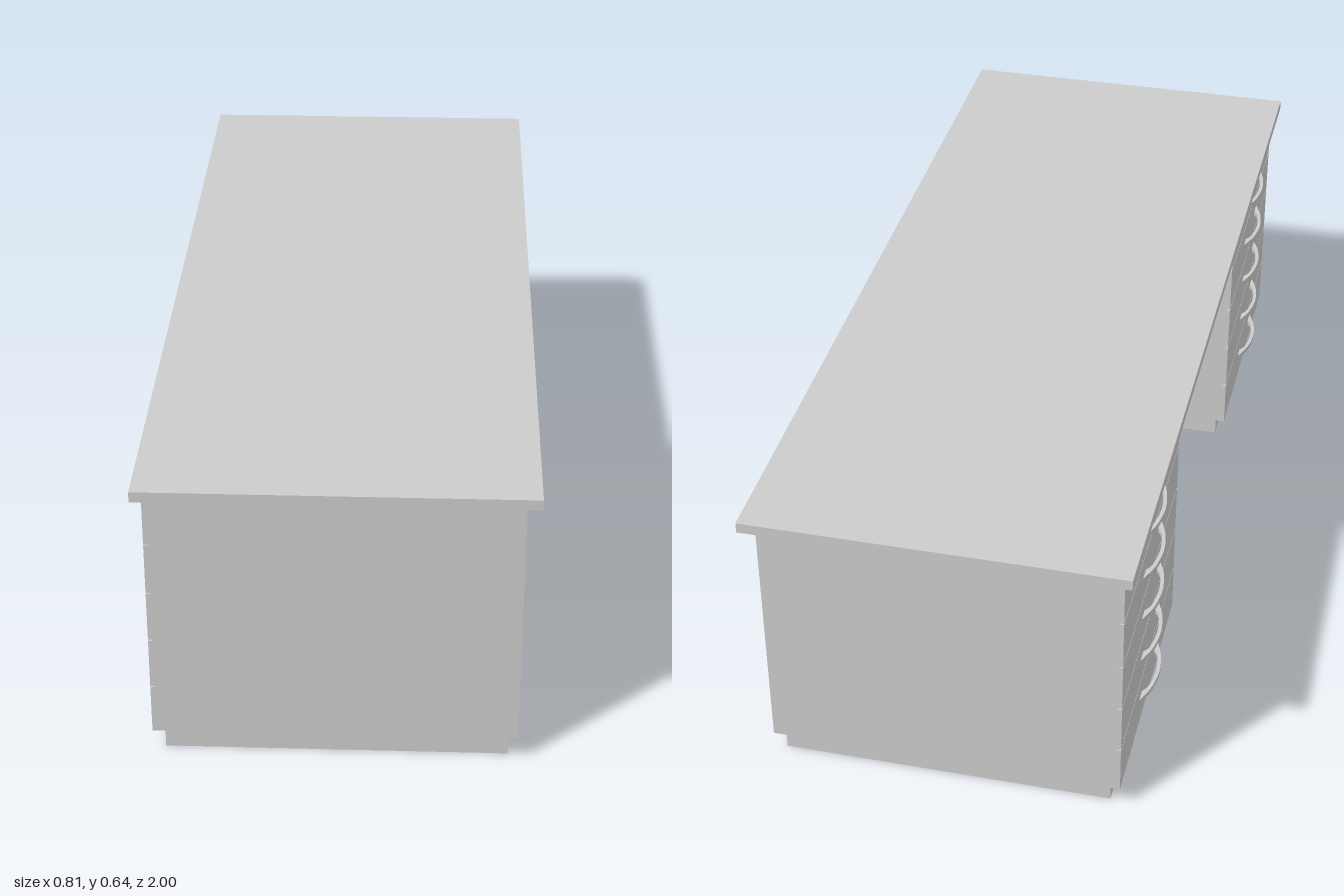
import * as THREE from 'three';

const material = new THREE.MeshStandardMaterial({ color: 0xcccccc });

// Box given by its limits on each axis
function slab(name, [x0, x1], [y0, y1], [z0, z1]) {
  const mesh = new THREE.Mesh(new THREE.BoxGeometry(x1 - x0, y1 - y0, z1 - z0), material);
  mesh.position.set((x0 + x1) / 2, (y0 + y1) / 2, (z0 + z1) / 2);
  mesh.name = name;
  return mesh;
}

// Bow handle: plan outline extruded upwards
function handleGeometry() {
  const v = (x, y) => new THREE.Vector2(x, y);
  const shape = new THREE.Shape();
  shape.moveTo(-0.38, -0.1);
  shape.splineThru([v(-0.387, -0.085), v(-0.399, -0.05), v(-0.405, 0),
    v(-0.399, 0.05), v(-0.387, 0.085), v(-0.38, 0.1)]);
  shape.lineTo(-0.38, 0.07);
  shape.splineThru([v(-0.391, 0.05), v(-0.397, 0), v(-0.391, -0.05), v(-0.38, -0.07)]);
  shape.closePath();
  const geometry = new THREE.ExtrudeGeometry(shape, { depth: 0.011, bevelEnabled: false, curveSegments: 18 });
  return geometry.rotateX(-Math.PI / 2).translate(0, -0.0055, 0);
}

// Hollow plinth, open underneath
function plinth(z) {
  const rect = (path, w, d) => path.moveTo(-w, -d).lineTo(w, -d).lineTo(w, d).lineTo(-w, d).closePath();
  const shape = rect(new THREE.Shape(), 0.356, 0.281);
  shape.holes.push(rect(new THREE.Path(), 0.351, 0.276));
  const geometry = new THREE.ExtrudeGeometry(shape, { depth: 0.054, bevelEnabled: false });
  const mesh = new THREE.Mesh(geometry.rotateX(-Math.PI / 2), material);
  mesh.position.z = z;
  mesh.name = 'plinth';
  return mesh;
}

export function createModel() {
  const desk = new THREE.Group();
  desk.name = 'desk';
  desk.add(slab('desktop', [-0.4, 0.405], [0.62, 0.643], [-1, 1]));

  const handle = handleGeometry();
  const seams = [0.054, 0.165, 0.279, 0.392, 0.506, 0.62];
  const handleHeights = [0.116, 0.228, 0.343, 0.453, 0.563];

  // Two drawer pedestals
  for (const side of [-1, 1]) {
    const pedestal = new THREE.Group();
    pedestal.name = side > 0 ? 'frontPedestal' : 'backPedestal';
    const z = side * 0.669, span = [z - 0.303, z + 0.303];
    pedestal.add(plinth(z), slab('cabinet', [-0.371, 0.376], [0.054, 0.62], span));

    // Drawer fronts separated by narrow seams
    handleHeights.forEach((y, i) => {
      const low = seams[i] + (i ? 0.0015 : 0);
      const high = seams[i + 1] - (i < 4 ? 0.0015 : 0);
      pedestal.add(slab('drawerFront', [-0.38, -0.371], [low, high], span));
      const grip = new THREE.Mesh(handle, material);
      grip.position.set(0, y, z);
      grip.name = 'drawerHandle';
      pedestal.add(grip);
    });
    desk.add(pedestal);
  }
  return desk;
}
